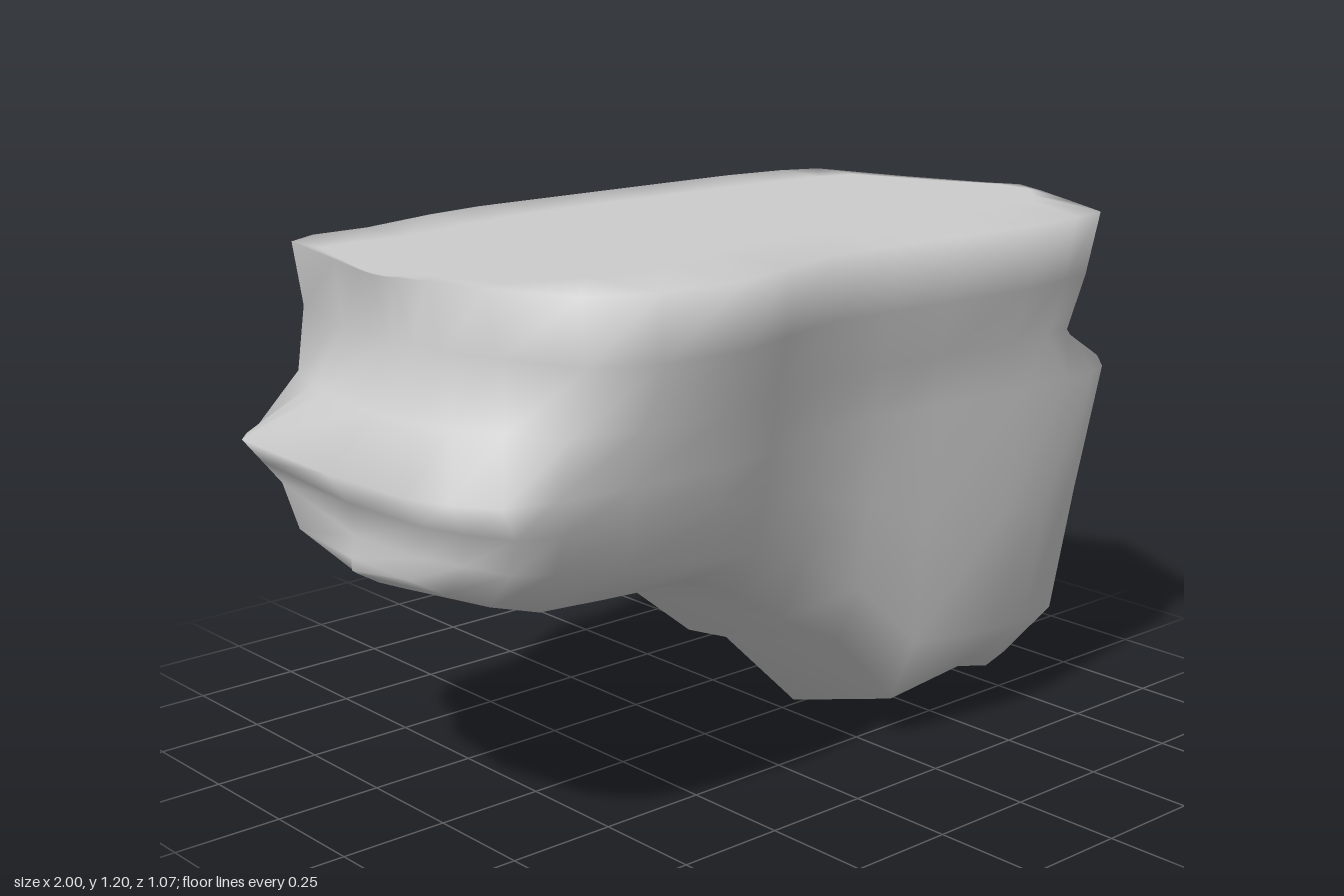
import * as THREE from 'three';
import { mergeVertices } from 'three/addons/utils/BufferGeometryUtils.js';

const TOP = 1.2;

// Stations along x:
// [x, rim front z, rim back z, ledge front z, ledge back z, belly edge height, keel height, keel z]
const stations = [
  [-1, 0, 0, 0, 0, 0.68, 0.61, 0],
  [-0.985, 0.05, -0.07, 0.24, -0.34, 0.68, 0.6, 0],
  [-0.95, 0.12, -0.2, 0.34, -0.38, 0.68, 0.57, 0],
  [-0.89, 0.25, -0.43, 0.43, -0.43, 0.67, 0.54, 0],
  [-0.79, 0.44, -0.47, 0.46, -0.44, 0.66, 0.5, 0],
  [-0.62, 0.51, -0.47, 0.48, -0.45, 0.64, 0.505, 0],
  [-0.39, 0.53, -0.52, 0.49, -0.48, 0.61, 0.51, 0],
  [-0.22, 0.49, -0.54, 0.45, -0.49, 0.59, 0.4, 0],
  [-0.05, 0.45, -0.535, 0.41, -0.49, 0.54, 0.27, 0],
  [0.13, 0.46, -0.53, 0.41, -0.49, 0.42, 0.2, 0],
  [0.3, 0.475, -0.525, 0.43, -0.49, 0.26, 0.01, 0],
  [0.55, 0.49, -0.515, 0.46, -0.49, 0.24, 0.06, -0.08],
  [0.71, 0.475, -0.49, 0.46, -0.475, 0.23, 0.0, -0.2],
  [0.81, 0.465, -0.45, 0.45, -0.44, 0.23, 0.015, -0.24],
  [0.88, 0.33, -0.21, 0.42, -0.39, 0.22, 0.03, -0.24],
  [0.96, 0.17, 0, 0.34, -0.28, 0.22, 0.05, -0.1],
  [1, 0.07, 0.07, 0.07, 0.07, 0.16, 0.07, 0.07],
];

// How far each end reaches at a given height: [height, reach]
const leftReach = [[0.48, 0.82], [0.53, 0.9], [0.6, 0.95], [0.66, 0.95], [0.71, 0.92], [0.82, 1], [0.92, 0.9], [1.05, 0.84], [1.2, 0.87]];
const rightReach = [[0, 0.87], [0.07, 0.89], [0.3, 0.91], [0.55, 0.95], [0.82, 1], [0.92, 0.88], [1.05, 0.9], [1.2, 0.97]];

const mix = THREE.MathUtils.lerp;

function sample(curve, y) {
  if (y <= curve[0][0]) return curve[0][1];
  for (let i = 1; i < curve.length; i++) {
    const [y0, r0] = curve[i - 1], [y1, r1] = curve[i];
    if (y <= y1) return mix(r0, r1, (y - y0) / (y1 - y0));
  }
  return curve[curve.length - 1][1];
}

// Weathered ends: pull x in or out by height, strongest at the tips
function place(x, y, z) {
  const reach = sample(x < 0 ? leftReach : rightReach, y);
  return [x + Math.sign(x) * (reach - 1) * x * x, y, z];
}

// One side of a section from rim to belly, drawing in toward the keel line
function side(x, rim, ledge, waist, edge, under, keel, keelZ) {
  return [
    [TOP, rim],
    [1.06, mix(rim, ledge, 0.08)],
    [0.93, mix(keelZ, mix(rim, ledge, 0.5), waist)],
    [0.82, ledge],
    [mix(0.82, edge, 0.5), mix(keelZ, ledge, 0.95)],
    [edge, mix(keelZ, ledge, 0.9)],
    [mix(edge, keel, 0.62), mix(keelZ, ledge, under)],
  ].map(([y, z]) => place(x, y, z));
}

// Closed section: back rim -> keel -> front rim -> across the flat top
function section([x, rimFront, rimBack, ledgeFront, ledgeBack, edge, keel, keelZ]) {
  const backEdge = edge + (keelZ - ledgeBack) * 0.12;
  const back = side(x, rimBack, ledgeBack, 0.92, backEdge, 0.62, keel, keelZ);
  const front = side(x, rimFront, ledgeFront, 0.96, edge, 0.74, keel, keelZ).reverse();
  const top = [0.22, 0.85].map((t) => place(x, TOP, mix(rimFront, rimBack, t)));
  return [...back, place(x, keel, keelZ), ...front, ...top, back[0]];
}

// Smooth surface across a list of equal-length rows
function loft(rows) {
  const n = rows[0].length, index = [];
  for (let u = 0; u < rows.length - 1; u++) {
    for (let v = 0; v < n - 1; v++) {
      const a = u * n + v, b = a + n;
      index.push(a, b, b + 1, a, b + 1, a + 1);
    }
  }
  const geometry = new THREE.BufferGeometry();
  geometry.setAttribute('position', new THREE.Float32BufferAttribute(rows.flat(2), 3));
  geometry.setIndex(index);
  const merged = mergeVertices(geometry, 1e-4);
  merged.computeVertexNormals();
  return merged;
}

export function createModel() {
  const group = new THREE.Group();
  group.name = 'rock';

  // Flat-topped boulder in one smooth skin
  const material = new THREE.MeshStandardMaterial({ color: 0xcccccc });
  const body = new THREE.Mesh(loft(stations.map(section)), material);
  body.name = 'rockBody';
  group.add(body);
  return group;
}
